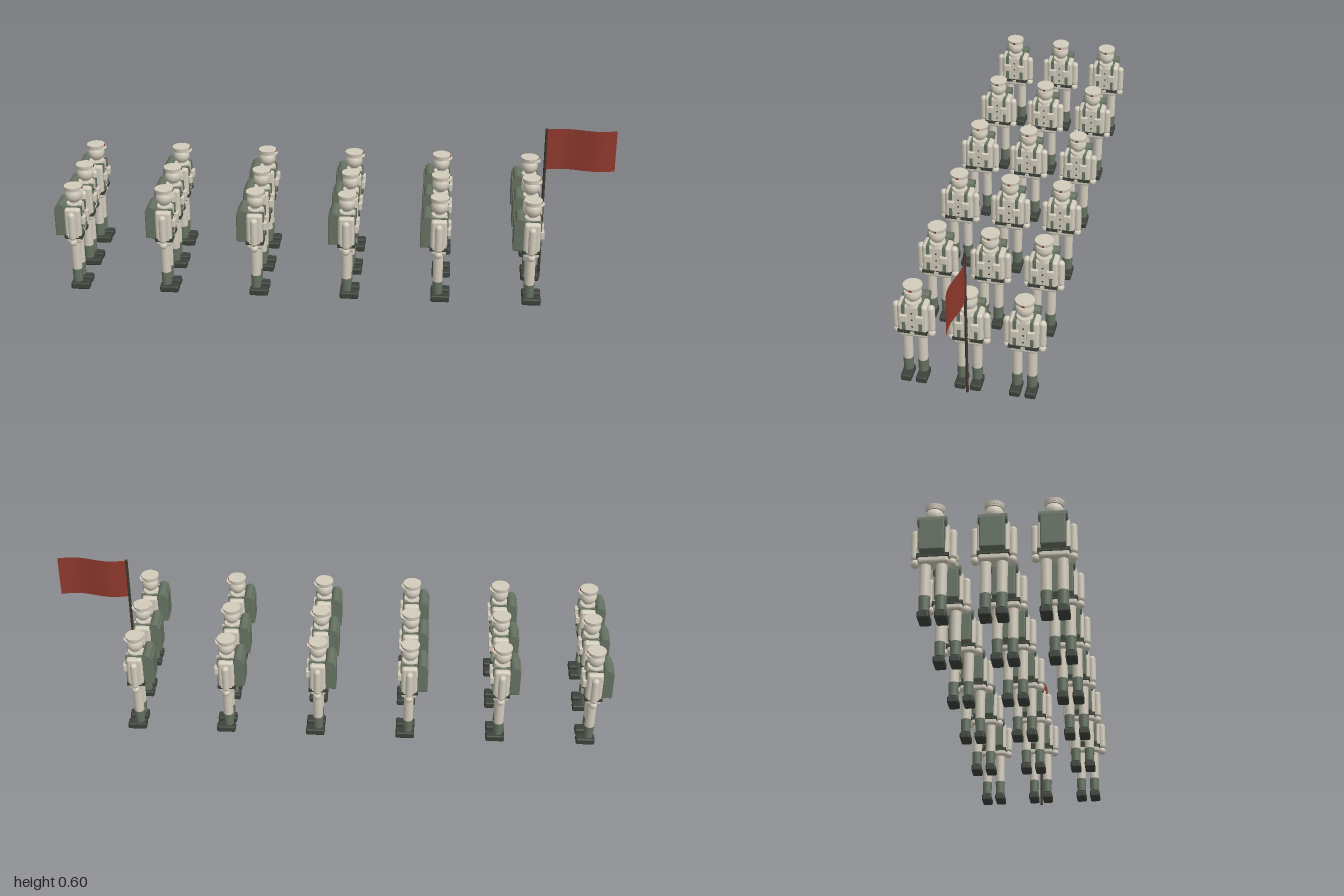
import * as THREE from 'three';
import { RoundedBoxGeometry } from 'three/addons/geometries/RoundedBoxGeometry.js';

const mat = (name, color, side = THREE.FrontSide) => {
  const m = new THREE.MeshStandardMaterial({ color, side });
  m.name = name;
  return m;
};

const cloth = mat('cream cloth', 0xd2ccbc);
const green = mat('grey green canvas', 0x667262);
const dark = mat('dark leather', 0x3c423a);
const buttonMat = mat('button brown', 0x33261f);
const poleMat = mat('pole wood', 0x40382e);
const red = mat('flag red', 0x8f392d, THREE.DoubleSide);

// Geometries shared by every soldier; each soldier faces +x
const rbox = (x, y, z, r) => new RoundedBoxGeometry(x, y, z, 2, r);
const box = (x, y, z) => new THREE.BoxGeometry(x, y, z);
const cyl = (rt, rb, h, n = 20) => new THREE.CylinderGeometry(rt, rb, h, n);
const geo = {
  boot: rbox(0.068, 0.025, 0.038, 0.006),
  gaiter: cyl(0.0185, 0.0172, 0.05),
  leg: cyl(0.0178, 0.0175, 0.125),
  torso: rbox(0.058, 0.122, 0.104, 0.011),
  skirt: rbox(0.056, 0.028, 0.098, 0.009),
  belt: box(0.064, 0.012, 0.103),
  buckle: box(0.006, 0.009, 0.015),
  collar: cyl(0.028, 0.03, 0.014),
  neck: cyl(0.015, 0.015, 0.02),
  head: new THREE.SphereGeometry(0.0305, 22, 16),
  capBand: cyl(0.0305, 0.0295, 0.008, 24),
  capTop: cyl(0.033, 0.0315, 0.011, 24),
  visor: cyl(0.026, 0.026, 0.003, 20),
  badge: box(0.004, 0.007, 0.009),
  arm: new THREE.CapsuleGeometry(0.0132, 0.082, 5, 14),
  hand: new THREE.SphereGeometry(0.0143, 14, 10),
  strap: box(0.005, 0.104, 0.011),
  shoulderStrap: box(0.068, 0.004, 0.011),
  pouch: rbox(0.014, 0.029, 0.027, 0.003),
  button: new THREE.SphereGeometry(0.0032, 8, 6),
  pack: rbox(0.038, 0.108, 0.08, 0.004),
  bedroll: cyl(0.017, 0.017, 0.092, 18).rotateX(Math.PI / 2),
  packStrap: box(0.04, 0.006, 0.082),
};

function add(group, name, geometry, material, x, y, z) {
  const mesh = new THREE.Mesh(geometry, material);
  mesh.name = name;
  mesh.position.set(x, y, z);
  group.add(mesh);
  return mesh;
}

function makeSoldier() {
  const g = new THREE.Group();
  g.name = 'soldier';

  // Body and belt
  add(g, 'torso', geo.torso, cloth, 0, 0.27, 0);
  add(g, 'coatSkirt', geo.skirt, cloth, 0, 0.209, 0);
  add(g, 'belt', geo.belt, dark, 0, 0.2195, 0);
  add(g, 'buckle', geo.buckle, cloth, 0.031, 0.2195, 0);
  add(g, 'collar', geo.collar, cloth, 0, 0.331, 0);
  add(g, 'neck', geo.neck, cloth, 0, 0.338, 0);
  for (const y of [0.3, 0.271, 0.242]) add(g, 'button', geo.button, buttonMat, 0.029, y, 0);

  // Head and peaked cap
  add(g, 'head', geo.head, cloth, 0, 0.3685, 0);
  add(g, 'capBand', geo.capBand, cloth, 0, 0.391, 0);
  add(g, 'capTop', geo.capTop, cloth, 0, 0.398, 0);
  add(g, 'visor', geo.visor, cloth, 0.014, 0.3885, 0);
  add(g, 'capBadge', geo.badge, red, 0.0315, 0.397, 0);

  // Paired limbs and webbing
  for (const s of [-1, 1]) {
    add(g, 'boot', geo.boot, dark, 0.01, 0.0175, s * 0.027);
    add(g, 'gaiter', geo.gaiter, green, 0, 0.06, s * 0.026);
    add(g, 'leg', geo.leg, cloth, 0, 0.1425, s * 0.026);
    add(g, 'arm', geo.arm, cloth, 0, 0.267, s * 0.06);
    add(g, 'hand', geo.hand, cloth, 0, 0.204, s * 0.059);
    add(g, 'frontStrap', geo.strap, green, 0.0305, 0.281, s * 0.029);
    add(g, 'shoulderStrap', geo.shoulderStrap, green, -0.001, 0.332, s * 0.029);
    add(g, 'pouch', geo.pouch, cloth, 0.036, 0.2825, s * 0.0275);
  }

  // Backpack with bedroll on top
  add(g, 'backpack', geo.pack, green, -0.047, 0.274, 0);
  add(g, 'bedroll', geo.bedroll, green, -0.044, 0.328, 0);
  return g;
}

function makeFlag() {
  const g = new THREE.Group();
  g.name = 'flag';
  add(g, 'flagPole', cyl(0.005, 0.005, 0.596, 12), poleMat, 0, 0.298, 0);

  // Cloth rippled along its length
  const w = 0.25;
  const sheet = new THREE.PlaneGeometry(w, 0.156, 24, 1).translate(w / 2, 0, 0);
  const p = sheet.attributes.position;
  for (let i = 0; i < p.count; i++) p.setZ(i, -0.0095 * Math.sin((p.getX(i) / w) * Math.PI * 2));
  sheet.computeVertexNormals();
  add(g, 'flagCloth', sheet, red, 0, 0.516, 0);
  return g;
}

export function createModel() {
  const model = new THREE.Group();
  model.name = 'marchingColumn';

  // Six ranks of three soldiers
  for (let i = 0; i < 6; i++) {
    for (let j = -1; j <= 1; j++) {
      const soldier = makeSoldier();
      soldier.position.set(-0.934 + i * 0.328, 0, j * 0.19);
      model.add(soldier);
    }
  }

  // Flag in front of the leading middle soldier
  const flag = makeFlag();
  flag.position.set(0.75, 0, 0);
  model.add(flag);
  return model;
}
